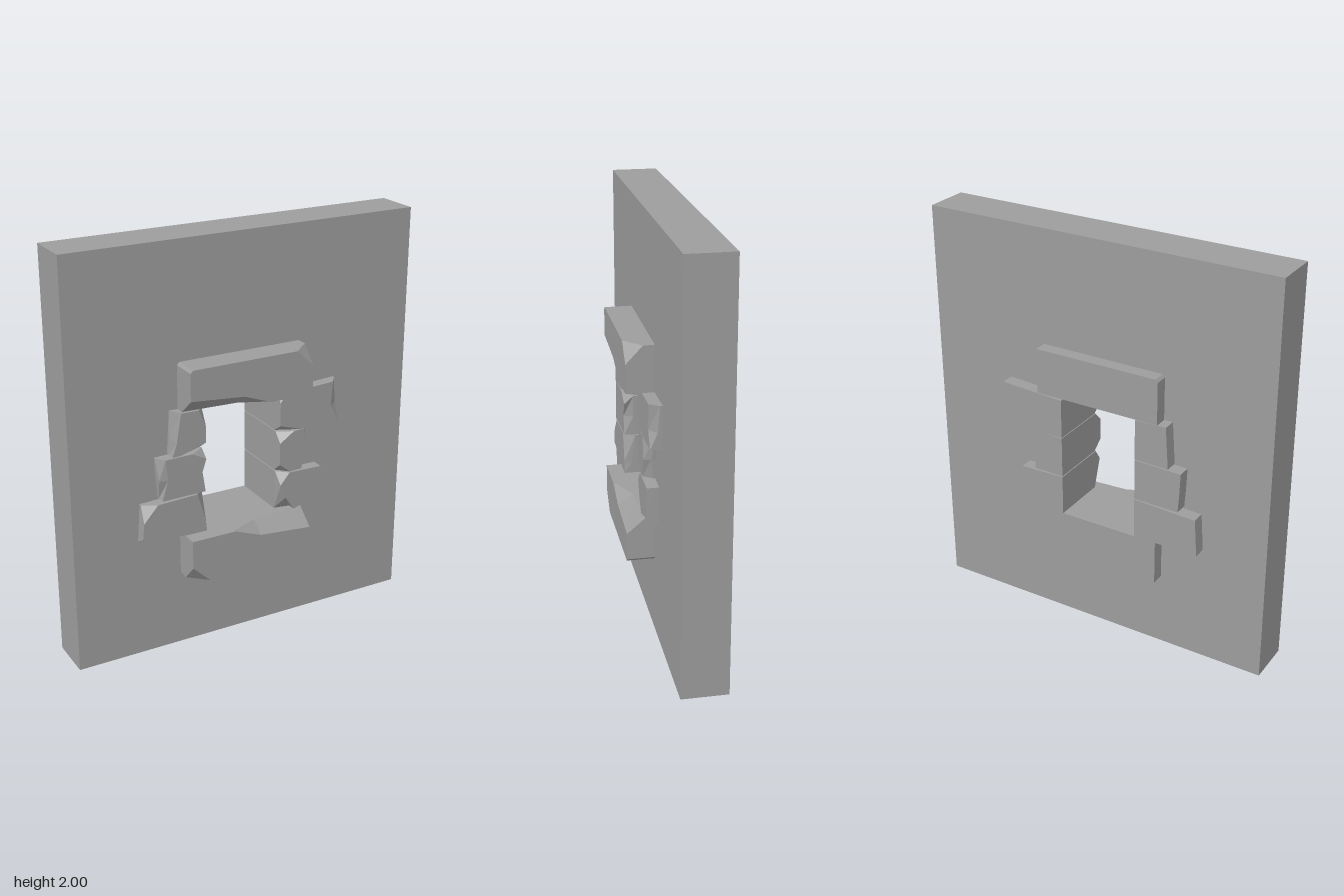
import * as THREE from 'three';

const material = new THREE.MeshStandardMaterial({ color: 0x9d9d9d, flatShading: true });
const BACK = -0.21;

// Chipped stone: each row is an outline corner [x, y], counter-clockwise from the front.
// A chipped corner [x, y, frontX, frontY, rimZ] has its front point moved and breaks at depth rimZ.
function stoneGeometry(rows, frontZ) {
  const front = rows.map(([x, y, fx = x, fy = y]) => new THREE.Vector3(fx, fy, frontZ));
  const rim = rows.map(([x, y, , , z = frontZ - 0.04]) => new THREE.Vector3(x, y, z));
  const back = rows.map(([x, y]) => new THREE.Vector3(x, y, BACK));
  const positions = [];
  const tri = (a, b, c) => {
    const area = b.clone().sub(a).cross(c.clone().sub(a)).length();
    if (area > 1e-7) for (const p of [a, b, c]) positions.push(p.x, p.y, p.z);
  };
  const cap = (loop, flip) => {
    const flat = loop.map((p) => new THREE.Vector2(p.x, p.y));
    for (const [a, b, c] of THREE.ShapeUtils.triangulateShape(flat, [])) {
      if (flip) tri(loop[a], loop[c], loop[b]);
      else tri(loop[a], loop[b], loop[c]);
    }
  };
  cap(front, false);
  cap(back, true);
  for (const [near, far] of [[front, rim], [rim, back]]) {
    for (let i = 0; i < rows.length; i++) {
      const j = (i + 1) % rows.length;
      tri(near[i], far[i], far[j]);
      tri(near[i], far[j], near[j]);
    }
  }
  const geometry = new THREE.BufferGeometry();
  geometry.setAttribute('position', new THREE.Float32BufferAttribute(positions, 3));
  geometry.computeVertexNormals();
  return geometry;
}

function addMesh(group, name, geometry) {
  const mesh = new THREE.Mesh(geometry, material);
  mesh.name = name;
  group.add(mesh);
  return mesh;
}

export function createModel() {
  const group = new THREE.Group();
  group.name = 'wallWithStoneWindow';

  // Wall slab; the opening's edge is hidden inside the stones
  const wall = new THREE.Shape();
  wall.moveTo(-0.89, 0).lineTo(0.89, 0).lineTo(0.89, 2).lineTo(-0.89, 2).closePath();
  const hole = new THREE.Path();
  hole.moveTo(-0.27, 0.57).lineTo(-0.27, 1.25).lineTo(0.18, 1.25).lineTo(0.18, 0.57).closePath();
  wall.holes.push(hole);
  const wallGeometry = new THREE.ExtrudeGeometry(wall, { depth: 0.222, bevelEnabled: false });
  addMesh(group, 'wall', wallGeometry.translate(0, 0, -0.145));

  // Lintel, and the sill as the same stone turned half round
  const lintel = stoneGeometry([
    [-0.353, 1.217, -0.353, 1.295, 0.12],
    [-0.08, 1.217, -0.08, 1.27, 0.14],
    [0.06, 1.217, 0.06, 1.217, 0.2],
    [0.283, 1.217],
    [0.283, 1.44, 0.283, 1.355, 0.13],
    [0.283, 1.44, 0.195, 1.44, 0.13],
    [-0.34, 1.44],
    [-0.353, 1.427],
  ], 0.21);
  addMesh(group, 'lintel', lintel);
  const sill = addMesh(group, 'sill', lintel.clone());
  sill.rotation.z = Math.PI;
  sill.position.set(-0.07, 1.817, 0);

  // Jamb stones on both sides of the opening
  const jambs = {
    leftJambTop: [
      [0.155, 1.012, 0.155, 1.05, 0.08],
      [0.155, 1.012, 0.27, 1.014, 0.08],
      [0.478, 1.018],
      [0.478, 1.1, 0.434, 1.1, 0.1],
      [0.478, 1.225, 0.443, 1.223, 0.09],
      [0.155, 1.207, 0.185, 1.209, 0.09],
      [0.155, 1.207, 0.155, 1.165, 0.09],
    ],
    leftJambMiddle: [
      [0.155, 0.805, 0.155, 0.85, 0.08],
      [0.155, 0.805, 0.21, 0.805, 0.08],
      [0.308, 0.807, 0.275, 0.807, 0.09],
      [0.312, 0.9, 0.3, 0.9, 0.1],
      [0.323, 1.017, 0.288, 1.013, 0.08],
      [0.155, 1.008, 0.23, 1.01, 0.09],
      [0.155, 1.008, 0.155, 0.96, 0.09],
    ],
    leftJambBottom: [
      [0.155, 0.6, 0.19, 0.67, 0.08],
      [0.235, 0.6],
      [0.388, 0.603, 0.388, 0.645, 0.08],
      [0.386, 0.795],
      [0.155, 0.8, 0.21, 0.799, 0.09],
      [0.155, 0.8, 0.16, 0.74, 0.09],
    ],
    rightJambTop: [
      [-0.412, 1.01],
      [-0.24, 1.012, -0.37, 1.011, 0.08],
      [-0.24, 1.012, -0.24, 1.05, 0.08],
      [-0.24, 1.213, -0.24, 1.13, 0.09],
      [-0.24, 1.213, -0.275, 1.214, 0.09],
      [-0.398, 1.218, -0.365, 1.217, 0.08],
      [-0.406, 1.1, -0.39, 1.07, 0.09],
    ],
    rightJambMiddle: [
      [-0.467, 0.803],
      [-0.24, 0.805, -0.245, 0.805, 0.08],
      [-0.24, 0.9, -0.262, 0.9, 0.09],
      [-0.24, 1.008, -0.24, 0.968, 0.09],
      [-0.24, 1.008, -0.31, 1.006, 0.09],
      [-0.478, 1.003, -0.447, 1.004, 0.08],
      [-0.474, 0.9, -0.437, 0.9, 0.12],
    ],
    rightJambBottom: [
      [-0.57, 0.6, -0.57, 0.632, 0.08],
      [-0.35, 0.6],
      [-0.24, 0.6],
      [-0.24, 0.65, -0.246, 0.66, 0.1],
      [-0.24, 0.8, -0.288, 0.798, 0.08],
      [-0.557, 0.787, -0.49, 0.79, 0.09],
      [-0.557, 0.787, -0.562, 0.71, 0.09],
    ],
  };
  for (const [name, rows] of Object.entries(jambs)) {
    addMesh(group, name, stoneGeometry(rows, 0.135));
  }
  return group;
}
